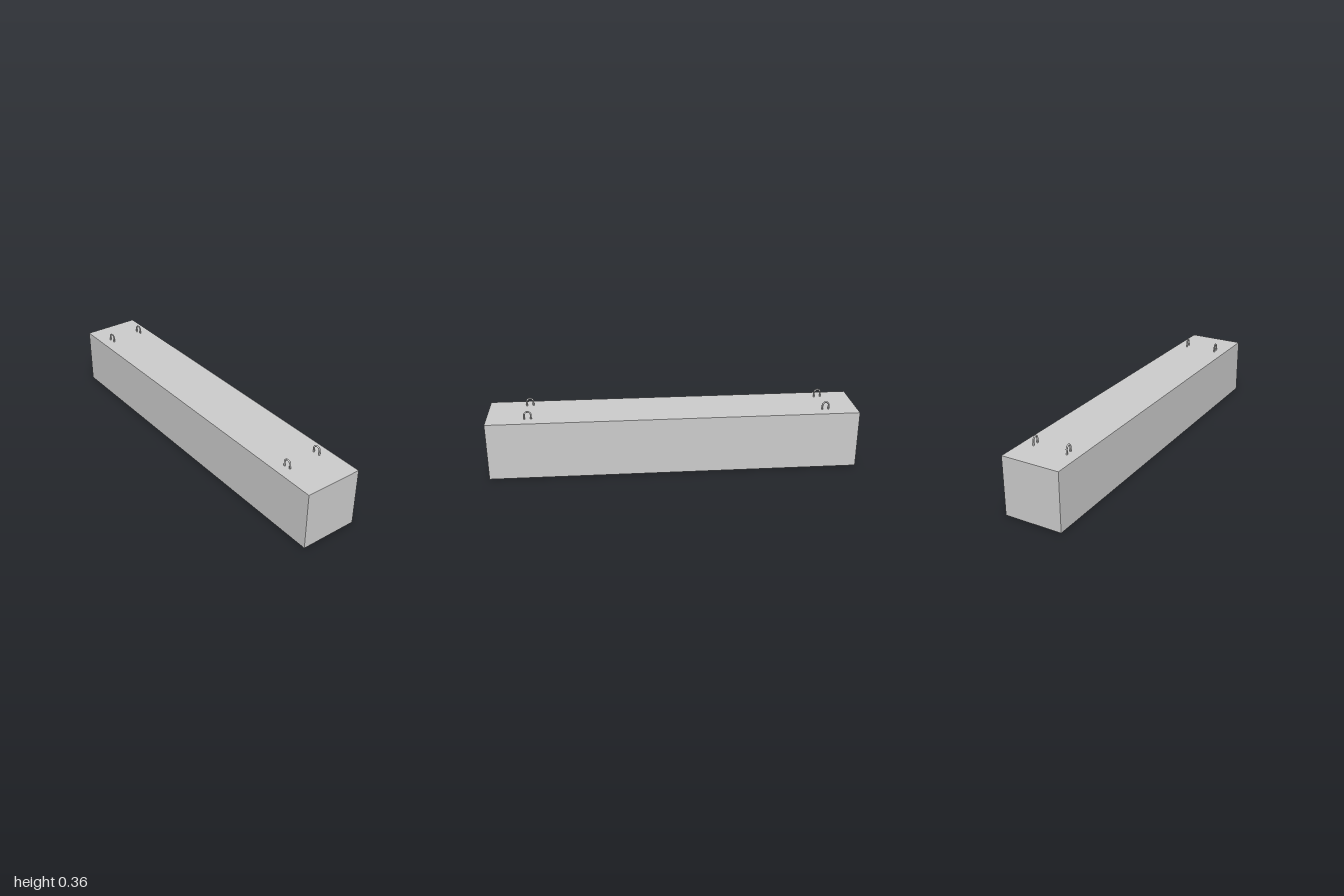
import * as THREE from 'three';

const material = new THREE.MeshStandardMaterial({ color: 0xcccccc });
const WIDTH = 0.316, HEIGHT = 0.316, LENGTH = 2;

// Bent-bar lifting eye: two straight legs joined by a half circle
function liftingLoopGeometry() {
  const bend = 0.0175, wire = 0.0045, bendY = 0.04 - wire / 2 - 0.0135;
  const path = new THREE.CurvePath();
  const points = [];
  for (let i = 0; i <= 12; i++) {
    const a = Math.PI * i / 12;
    points.push(new THREE.Vector3(0, bendY + bend * Math.sin(a), bend * Math.cos(a)));
  }
  path.add(new THREE.LineCurve3(new THREE.Vector3(0, -0.01, bend), points[0]));
  path.add(new THREE.CatmullRomCurve3(points));
  path.add(new THREE.LineCurve3(points[12], new THREE.Vector3(0, -0.01, -bend)));
  return new THREE.TubeGeometry(path, 40, wire, 12);
}

export function createModel() {
  const model = new THREE.Group();
  model.name = 'beamWithLiftingLoops';

  // Solid square beam
  const beam = new THREE.Mesh(new THREE.BoxGeometry(WIDTH, HEIGHT, LENGTH), material);
  beam.name = 'beam';
  beam.position.y = HEIGHT / 2;
  model.add(beam);

  // Pair of slightly twisted lifting loops near each end
  const loopGeometry = liftingLoopGeometry();
  for (const [end, z] of [['front', 0.78], ['back', -0.825]]) {
    for (const [side, x] of [['Left', 0.094], ['Right', -0.094]]) {
      const loop = new THREE.Mesh(loopGeometry, material);
      loop.name = `${end}${side}LiftingLoop`;
      loop.position.set(x, HEIGHT, z);
      loop.rotation.y = 0.1;
      model.add(loop);
    }
  }
  return model;
}
